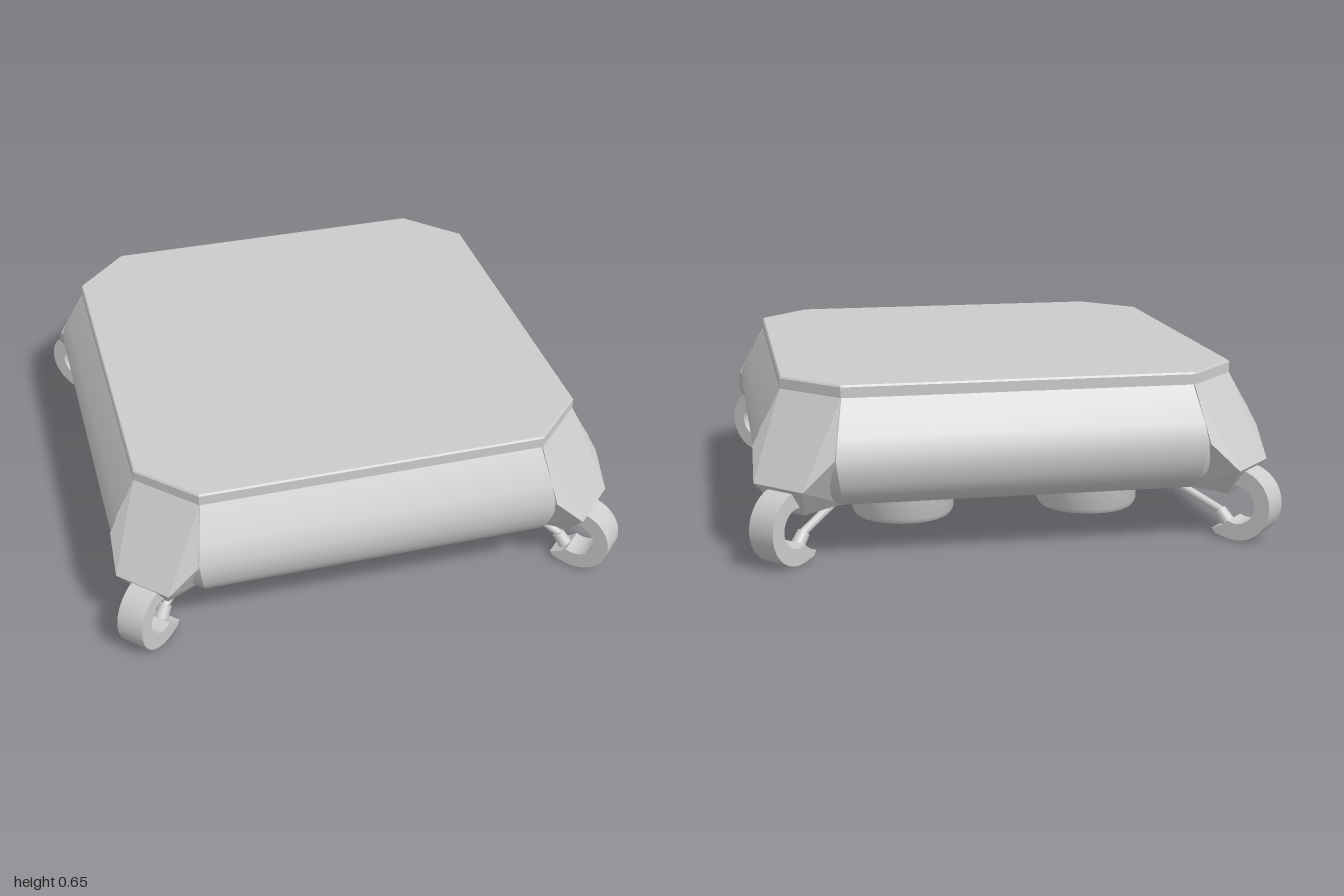
import * as THREE from 'three';
import { toCreasedNormals } from 'three/addons/utils/BufferGeometryUtils.js';
import { ConvexGeometry } from 'three/addons/geometries/ConvexGeometry.js';

const mat = new THREE.MeshStandardMaterial({ color: 0xcccccc });
const flat = new THREE.MeshStandardMaterial({ color: 0xcccccc, flatShading: true });

function add(parent, name, geometry, material = mat) {
  const mesh = new THREE.Mesh(geometry, material);
  mesh.name = name;
  parent.add(mesh);
  return mesh;
}

// Solid with chamfered-square sections [y, half width, half straight edge], bottom to top
function octagonSolid(sections, crease) {
  const pos = [], idx = [];
  for (const [y, h, c] of sections) {
    for (const [x, z] of [[c, h], [h, c], [h, -c], [c, -h], [-c, -h], [-h, -c], [-h, c], [-c, h]]) pos.push(x, y, z);
  }
  const last = (sections.length - 1) * 8;
  for (let i = 0; i < last; i += 8) {
    for (let j = 0; j < 8; j++) {
      const k = (j + 1) % 8;
      idx.push(i + j, i + k, i + 8 + k, i + j, i + 8 + k, i + 8 + j);
    }
  }
  for (let j = 1; j < 7; j++) idx.push(0, j + 1, j, last, last + j, last + j + 1);
  const g = new THREE.BufferGeometry();
  g.setAttribute('position', new THREE.Float32BufferAttribute(pos, 3));
  g.setIndex(idx);
  return toCreasedNormals(g, crease);
}

// Rod or cone between two points of the radial (x, y) plane
function rod(parent, name, a, b, ra, rb) {
  const from = new THREE.Vector3(a[0], a[1], 0), to = new THREE.Vector3(b[0], b[1], 0);
  const dir = to.clone().sub(from);
  const mesh = add(parent, name, new THREE.CylinderGeometry(rb, ra, dir.length(), 16));
  mesh.position.copy(from).add(to).multiplyScalar(0.5);
  mesh.quaternion.setFromUnitVectors(new THREE.Vector3(0, 1, 0), dir.normalize());
}

// Faceted corner armour, symmetric about the diagonal
function cornerBlockGeometry() {
  const half = [[0.66, 0.602, 0.865], [0.695, 0.4, 0.972], [0.81, 0.29, 0.976], [0.8, 0.18, 0.88], [0.655, 0.2, 0.825]];
  const points = [new THREE.Vector3(0.6, 0.58, 0.6), new THREE.Vector3(0.6, 0.24, 0.6)];
  for (const [x, y, z] of half) points.push(new THREE.Vector3(x, y, z), new THREE.Vector3(z, y, x));
  return new ConvexGeometry(points);
}

// C-shaped foot opening toward the middle
function footGeometry() {
  const rad = THREE.MathUtils.degToRad, width = 0.113;
  const s = new THREE.Shape();
  s.absarc(1.218, 0.14, 0.14, rad(120), rad(-105), true);
  s.lineTo(1.14, 0.015);
  s.lineTo(1.125, 0.033);
  s.lineTo(1.165, 0.05);
  s.absarc(1.222, 0.14, 0.075, rad(-115), rad(120), false);
  s.closePath();
  const g = new THREE.ExtrudeGeometry(s, { depth: width, bevelEnabled: false, curveSegments: 28 });
  g.translate(0, 0, -width / 2);
  return toCreasedNormals(g, rad(30));
}

export function createModel() {
  const model = new THREE.Group();
  model.name = 'landingPlatform';

  // Hull with rounded lower edge, and the deck plate on top
  add(model, 'hull', octagonSolid([
    [0.2, 0.82, 0.65], [0.207, 0.86, 0.655], [0.225, 0.895, 0.66], [0.255, 0.925, 0.667],
    [0.295, 0.95, 0.675], [0.345, 0.963, 0.683], [0.4, 0.965, 0.69], [0.47, 0.938, 0.68], [0.61, 0.855, 0.655],
  ], 0.6));
  add(model, 'deckPlate', octagonSolid([[0.604, 0.865, 0.66], [0.643, 0.865, 0.66], [0.65, 0.86, 0.657]], 0.5));

  // Four corners: armour block, hooked foot and strut
  const block = cornerBlockGeometry(), foot = footGeometry();
  for (let i = 0; i < 4; i++) {
    const corner = new THREE.Group();
    corner.name = 'corner' + (i + 1);
    corner.rotation.y = i * Math.PI / 2;
    add(corner, 'cornerBlock', block, flat);
    const leg = new THREE.Group();
    leg.name = 'leg';
    leg.rotation.y = -Math.PI / 4;
    add(leg, 'foot', foot);
    rod(leg, 'strutTip', [0.84, 0.212], [0.925, 0.175], 0.006, 0.036);
    rod(leg, 'strutCollar', [0.925, 0.175], [0.945, 0.167], 0.03, 0.022);
    rod(leg, 'strutRod', [0.92, 0.178], [1.15, 0.085], 0.016, 0.016);
    rod(leg, 'strutEnd', [1.13, 0.092], [1.175, 0.04], 0.024, 0.028);
    corner.add(leg);
    model.add(corner);
  }

  // Four thrusters under the hull, with flared base and recessed face
  const profile = [[0, 0.04], [0.155, 0.04], [0.16, 0.03], [0.19, 0.03], [0.202, 0.05], [0.203, 0.13],
    [0.21, 0.15], [0.228, 0.163], [0.247, 0.175], [0.252, 0.185], [0.252, 0.21]];
  const thruster = toCreasedNormals(new THREE.LatheGeometry(profile.map(p => new THREE.Vector2(...p)), 40), 0.6);
  for (const x of [-0.375, 0.375]) {
    for (const z of [-0.375, 0.375]) add(model, 'thruster', thruster).position.set(x, 0, z);
  }
  return model;
}
